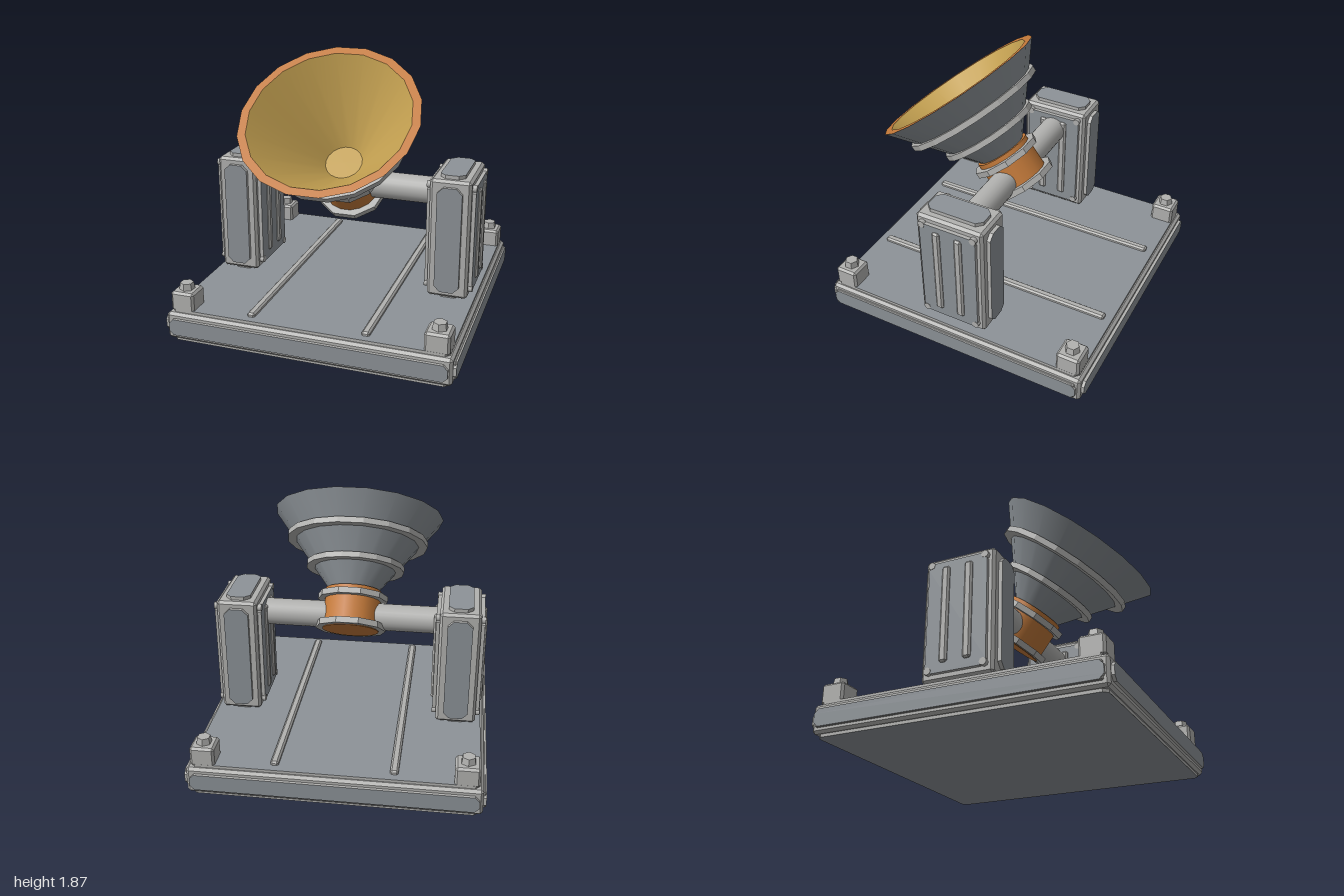
import * as THREE from 'three';
import { ConvexGeometry } from 'three/addons/geometries/ConvexGeometry.js';

const material = (name, color, side = THREE.FrontSide) => {
  const m = new THREE.MeshStandardMaterial({ color, side });
  m.name = name;
  return m;
};

export function createModel() {
  const frame = material('light grey frame', 0xb2b2b0);
  const panel = material('blue grey panel', 0x8d9398);
  const copper = material('copper', 0xc47a3a);
  const gold = material('gold lining', 0xc29f50, THREE.DoubleSide);

  const model = new THREE.Group();
  model.name = 'hornAntenna';

  const add = (parent, name, geometry, mat, x = 0, y = 0, z = 0) => {
    const mesh = new THREE.Mesh(geometry, mat);
    mesh.name = name;
    mesh.position.set(x, y, z);
    parent.add(mesh);
    return mesh;
  };
  const group = (parent, name, x = 0, y = 0, z = 0) => {
    const g = new THREE.Group();
    g.name = name;
    g.position.set(x, y, z);
    parent.add(g);
    return g;
  };

  // Box with all edges chamfered by c
  const chamferBox = (w, h, d, c) => {
    const pts = [];
    for (const x of [-w / 2, w / 2]) for (const y of [-h / 2, h / 2]) for (const z of [-d / 2, d / 2]) {
      const sx = Math.sign(x) * c, sy = Math.sign(y) * c, sz = Math.sign(z) * c;
      pts.push(new THREE.Vector3(x, y - sy, z - sz),
        new THREE.Vector3(x - sx, y, z - sz),
        new THREE.Vector3(x - sx, y - sy, z));
    }
    return new ConvexGeometry(pts);
  };

  // Flat plate with cut corners, facing +z
  const plate = (w, h, cut, depth) => {
    const a = w / 2, b = h / 2;
    const shape = new THREE.Shape([
      [-a + cut, -b], [a - cut, -b], [a, -b + cut], [a, b - cut],
      [a - cut, b], [-a + cut, b], [-a, b - cut], [-a, -b + cut],
    ].map(([x, y]) => new THREE.Vector2(x, y)));
    return new THREE.ExtrudeGeometry(shape, { depth, bevelEnabled: false });
  };

  // Chamfered block carrying a raised plate of size (pw, ph, pd) on each face
  const panelledBlock = (parent, name, [w, h, d], [pw, ph, pd], cut, rise) => {
    add(parent, name + 'Body', chamferBox(w, h, d, 0.018), frame);
    const q = Math.PI / 2;
    const faces = [
      ['Front', pw, ph, d, 0, 0], ['Back', pw, ph, d, 0, 2 * q],
      ['Left', pd, ph, w, 0, q], ['Right', pd, ph, w, 0, -q],
      ['Top', pw, pd, h, -q, 0], ['Bottom', pw, pd, h, q, 0],
    ];
    for (const [side, a, b, span, rx, ry] of faces) {
      const geo = plate(a, b, cut, rise);
      geo.translate(0, 0, span / 2).rotateX(rx).rotateY(ry);
      add(parent, name + side + 'Panel', geo, [panel, frame]);
    }
  };

  // Base platform
  const base = group(model, 'base', 0, 0.115, 0);
  panelledBlock(base, 'base', [1.95, 0.19, 1.95], [1.9, 0.115, 1.9], 0.03, 0.02);
  for (const s of [-1, 1]) {
    for (const x of [-1, 1]) add(base, 'basePanelRim', chamferBox(0.025, 0.12, 1.88, 0.008), frame, x * 0.9775, 0, 0).visible = true;
    add(model, 'deckRib', chamferBox(0.055, 0.06, 1.79, 0.012), frame, s * 0.395, 0.226, 0);
    // Corner blocks with hex bolts
    for (const t of [-1, 1]) {
      add(model, 'cornerBlock', chamferBox(0.165, 0.14, 0.165, 0.015), frame, s * 0.867, 0.284, t * 0.867);
      const bolt = new THREE.CylinderGeometry(0.045, 0.053, 0.05, 6).toNonIndexed();
      bolt.computeVertexNormals();
      add(model, 'cornerBolt', bolt, frame, s * 0.867, 0.375, t * 0.867);
    }
  }

  // Support posts with ribs and bolts on their broad sides
  for (const s of [-1, 1]) {
    const post = group(model, s > 0 ? 'leftPost' : 'rightPost', s * 0.77, 0.67, 0);
    panelledBlock(post, 'post', [0.28, 0.84, 0.49], [0.17, 0.75, 0.41], 0.04, 0.025);
    for (const side of [-1, 1]) for (const z of [-1, 1]) {
      add(post, 'postRib', chamferBox(0.06, 0.65, 0.055, 0.012), frame, side * 0.152, 0.01, z * 0.08);
      for (const y of [-0.355, 0.365]) {
        const bolt = new THREE.CylinderGeometry(0.025, 0.025, 0.03, 8).rotateZ(Math.PI / 2);
        add(post, 'postBolt', bolt, frame, side * 0.153, y, z * 0.188);
      }
    }
  }

  // Axle between the posts
  add(model, 'axle', new THREE.CylinderGeometry(0.095, 0.095, 1.3, 24).rotateZ(Math.PI / 2), frame, 0, 0.925, 0);

  // Tilted horn, with its axis along local y
  const horn = group(model, 'horn', 0, 0.92, 0);
  horn.rotation.x = THREE.MathUtils.degToRad(38);
  const N = 18;
  const drum = (rTop, rBottom, y0, y1, sides, open = false) =>
    new THREE.CylinderGeometry(rTop, rBottom, y1 - y0, sides, 1, open, Math.PI / sides)
      .translate(0, (y0 + y1) / 2, 0);
  const band = (name, rTop, rBottom, y0, y1, sides) => {
    const geo = drum(rTop, rBottom, y0, y1, sides).toNonIndexed();
    geo.computeVertexNormals();
    add(horn, name, geo, frame);
  };

  add(horn, 'neck', drum(0.2, 0.2, -0.105, 0.185, N), copper);
  band('neckLowerRing', 0.25, 0.25, -0.1, -0.058, 10);
  band('neckUpperRing', 0.25, 0.25, 0.11, 0.152, 10);
  add(horn, 'hornShell', drum(0.61, 0.155, 0.16, 0.74, N, true), panel);
  // Stiffening rings are open bands closed by flat annuli
  for (const [y, outer, inner] of [[0.355, 0.352, 0.27], [0.55, 0.508, 0.42]]) {
    const h = 0.02;
    const edge = drum(outer, outer, y - h, y + h, N, true).toNonIndexed();
    edge.computeVertexNormals();
    add(horn, 'hornRingEdge', edge, frame);
    for (const t of [-1, 1]) {
      const face = new THREE.RingGeometry(inner, outer, N).rotateX(-t * Math.PI / 2);
      add(horn, 'hornRingFace', face, frame, 0, y + t * h, 0);
    }
  }
  add(horn, 'rim', new THREE.RingGeometry(0.553, 0.61, N).rotateX(-Math.PI / 2), copper, 0, 0.74, 0);
  add(horn, 'lining', drum(0.553, 0.13, 0.24, 0.74, N, true), gold);
  add(horn, 'throat', new THREE.CircleGeometry(0.13, N).rotateX(-Math.PI / 2), gold, 0, 0.24, 0);

  return model;
}
